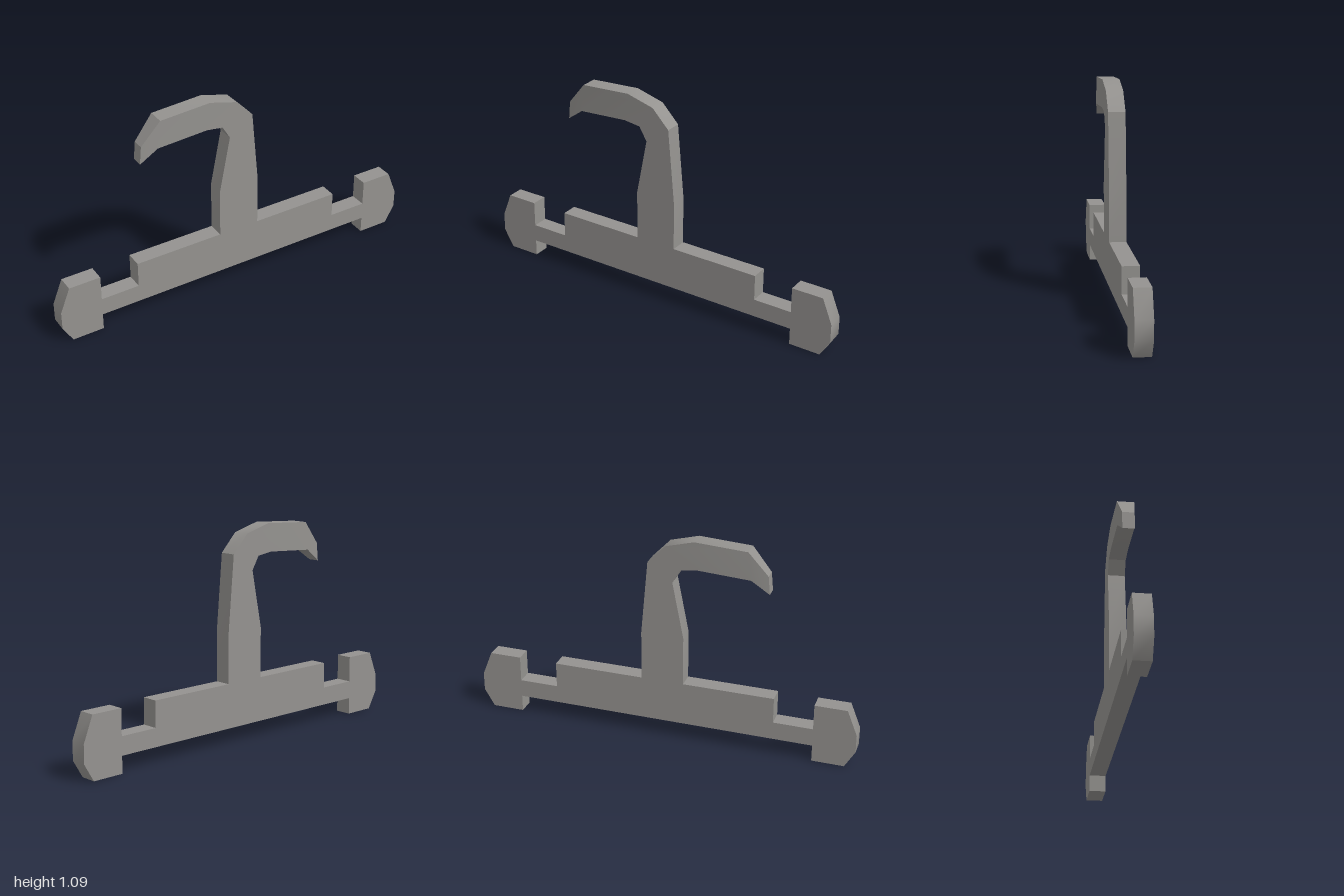
import * as THREE from 'three';
import { toCreasedNormals } from 'three/addons/utils/BufferGeometryUtils.js';

const DEPTH = 0.086;
const material = new THREE.MeshStandardMaterial({ color: 0x94928f });

// Flat plate cut to an outline, centred on z = 0; adjust may move its vertices
function plate(name, outline, adjust) {
  const shape = new THREE.Shape(outline.map(([x, y]) => new THREE.Vector2(x, y)));
  const geometry = new THREE.ExtrudeGeometry(shape, { depth: DEPTH, bevelEnabled: false });
  geometry.translate(0, 0, -DEPTH / 2);
  if (adjust) adjust(geometry.attributes.position);
  const mesh = new THREE.Mesh(toCreasedNormals(geometry, 0.6), material);
  mesh.name = name;
  return mesh;
}

// The hook's point gets thinner in z
function thinTip(position) {
  for (let i = 0; i < position.count; i++) {
    if (position.getX(i) < -0.5) position.setZ(i, position.getZ(i) * 0.7);
  }
}

export function createModel() {
  const group = new THREE.Group();
  group.name = 'hookHanger';

  // Stepped bar: thin necks at both ends, taller in the middle
  group.add(plate('crossbar', [
    [-0.785, 0.087], [0.785, 0.087], [0.785, 0.181], [0.58, 0.181],
    [0.58, 0.315], [-0.58, 0.315], [-0.58, 0.181], [-0.785, 0.181],
  ]));

  // Chamfered end blocks, mirrored
  const end = [[0.783, 0], [0.948, 0], [1, 0.09], [1, 0.185], [0.948, 0.315], [0.783, 0.315]];
  group.add(plate('leftEnd', end));
  group.add(plate('rightEnd', end.map(([x, y]) => [-x, y]).reverse()));

  // Upright stem curving over into the hook
  group.add(plate('hook', [
    [-0.11, 0.315], [0.11, 0.315], [0.11, 0.57], [0.075, 0.958],
    [-0.015, 1.052], [-0.16, 1.092], [-0.427, 1.077], [-0.526, 0.96],
    [-0.535, 0.867], [-0.445, 0.933], [-0.18, 0.948], [-0.093, 0.936],
    [-0.052, 0.867], [-0.11, 0.572],
  ], thinTip));

  return group;
}
